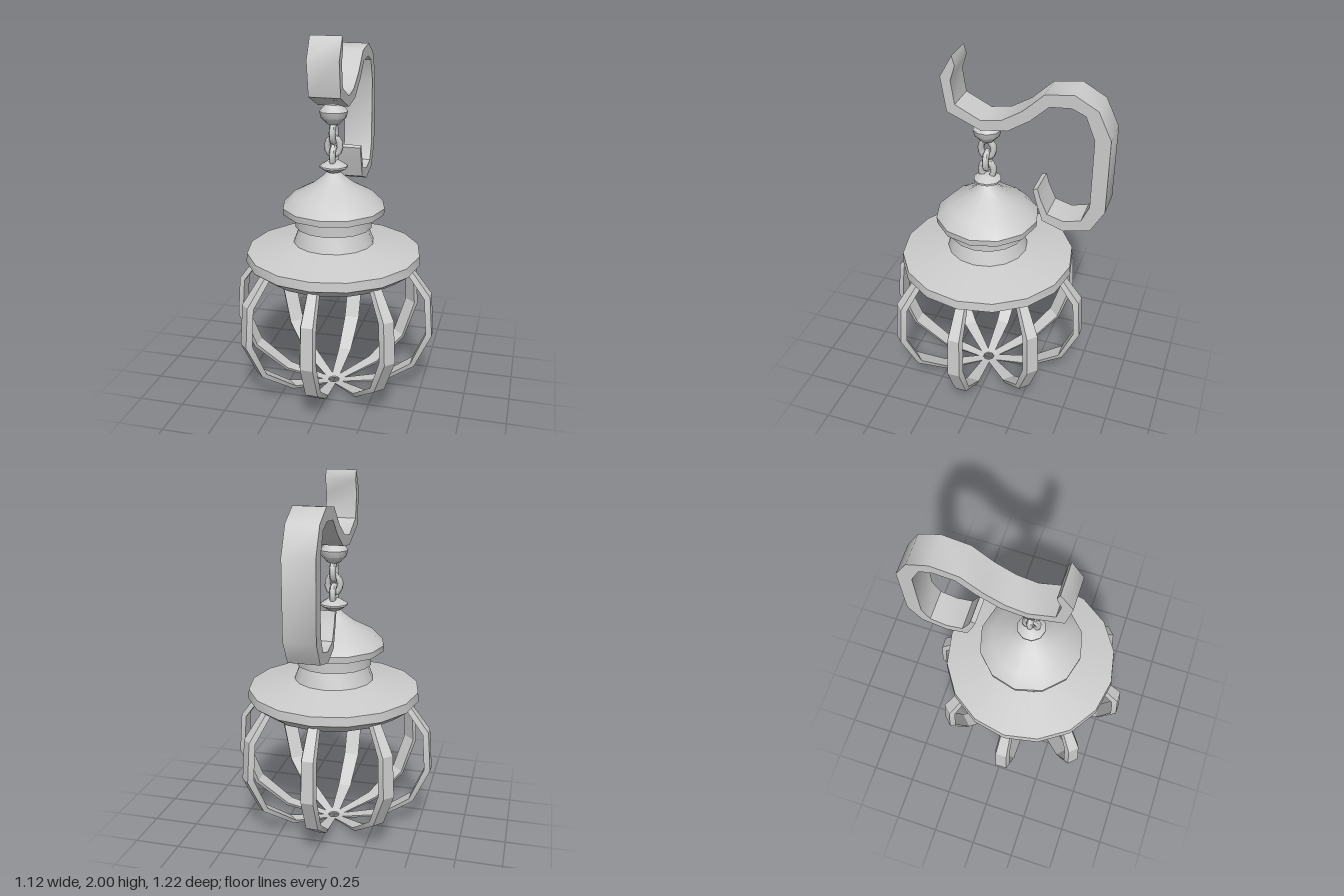
import * as THREE from 'three';
import { toCreasedNormals } from 'three/addons/utils/BufferGeometryUtils.js';

const CENTRE_Z = 0.045; // the lantern axis; the hook reaches back from it
const material = new THREE.MeshStandardMaterial({ color: 0xcccccc, side: THREE.DoubleSide });

function part(name, geometry, crease = 0.62) {
  const mesh = new THREE.Mesh(toCreasedNormals(geometry, crease), material);
  mesh.name = name;
  return mesh;
}

// Profile given as [radius, height], outside from bottom to top
function turned(name, profile, sides) {
  const points = profile.map(([r, y]) => new THREE.Vector2(r, y));
  return part(name, new THREE.LatheGeometry(points, sides));
}

// One cage rib along +z: a tapering bar with a narrower outer face
function ribGeometry() {
  // outer r, outer y, inner r, inner y, width scale
  const stations = [
    [0.03, 0.004, 0.03, 0.014, 0.5],
    [0.28, 0.05, 0.27, 0.07, 0.85],
    [0.47, 0.18, 0.45, 0.2, 1],
    [0.562, 0.38, 0.53, 0.39, 1],
    [0.545, 0.61, 0.515, 0.6, 0.95],
    [0.435, 0.757, 0.41, 0.745, 0.75],
  ];
  const positions = [], index = [];
  for (const [ro, yo, ri, yi, s] of stations) {
    positions.push(-0.033 * s, yo, ro, 0.033 * s, yo, ro, 0.044 * s, yi, ri, -0.044 * s, yi, ri);
  }
  for (let i = 0; i < stations.length - 1; i++) {
    for (let j = 0; j < 4; j++) {
      const a = i * 4 + j, b = i * 4 + (j + 1) % 4;
      index.push(a, b, b + 4, a, b + 4, a + 4);
    }
  }
  const e = (stations.length - 1) * 4;
  index.push(0, 2, 1, 0, 3, 2, e, e + 1, e + 2, e, e + 2, e + 3);
  const geometry = new THREE.BufferGeometry();
  geometry.setAttribute('position', new THREE.Float32BufferAttribute(positions, 3));
  geometry.setIndex(index);
  geometry.computeVertexNormals();
  return geometry;
}

// Oval chain link standing upright in the xy plane
function linkGeometry() {
  const points = [];
  for (let i = 0; i < 8; i++) {
    const a = (i + 0.5) * Math.PI / 4;
    points.push(new THREE.Vector3(Math.cos(a) * 0.035, Math.sin(a) * 0.05, 0));
  }
  const curve = new THREE.CatmullRomCurve3(points, true);
  return new THREE.TubeGeometry(curve, 10, 0.018, 6, true);
}

// S-shaped hook cut from a flat outline in [z, y]
function hookGeometry() {
  const outline = [
    [0.195, 2], [0.18, 1.95], [0.205, 1.87], [0.185, 1.745], [0.05, 1.68], [-0.06, 1.7],
    [-0.165, 1.765], [-0.275, 1.87], [-0.42, 1.89], [-0.54, 1.825], [-0.61, 1.68],
    [-0.61, 1.275], [-0.54, 1.15], [-0.4, 1.115], [-0.285, 1.155], [-0.25, 1.26],
    [-0.23, 1.335], [-0.255, 1.345], [-0.27, 1.29], [-0.31, 1.2], [-0.4, 1.175],
    [-0.49, 1.2], [-0.53, 1.29], [-0.53, 1.67], [-0.48, 1.79], [-0.41, 1.82],
    [-0.3, 1.81], [-0.205, 1.72], [-0.09, 1.645], [0.05, 1.625], [0.23, 1.7], [0.26, 1.885],
  ];
  const shape = new THREE.Shape(outline.map(([z, y]) => new THREE.Vector2(z, y)));
  return new THREE.ExtrudeGeometry(shape, { depth: 0.166, bevelEnabled: false })
    .translate(0, 0, -0.083)
    .rotateY(-Math.PI / 2);
}

export function createModel() {
  const model = new THREE.Group();
  model.name = 'hangingLantern';
  const lantern = new THREE.Group();
  lantern.name = 'lantern';
  lantern.position.z = CENTRE_Z;
  model.add(lantern);

  // Wide brim with hollow underside, running up into the neck
  lantern.add(turned('brimAndNeck', [
    [0.4, 0.72], [0.48, 0.78], [0.475, 0.83], [0.22, 0.88], [0.185, 0.975],
    [0.17, 0.975], [0.2, 0.865], [0.39, 0.815], [0.4, 0.72],
  ], 16));
  lantern.add(turned('collar', [
    [0.165, 0.965], [0.21, 0.97], [0.21, 1.035], [0.165, 1.035], [0.165, 0.965],
  ], 16));

  // Domed cap and the beads at both ends of the chain
  lantern.add(turned('cap', [
    [0, 1.04], [0.21, 1.03], [0.277, 1.05], [0.28, 1.085], [0.215, 1.15],
    [0.11, 1.205], [0.055, 1.25], [0.03, 1.275], [0, 1.28],
  ], 12));
  lantern.add(turned('lowerBead', [
    [0, 1.27], [0.035, 1.27], [0.075, 1.295], [0.075, 1.305], [0.035, 1.33], [0, 1.33],
  ], 10));
  lantern.add(turned('upperBead', [
    [0, 1.525], [0.035, 1.53], [0.068, 1.565], [0.076, 1.598], [0.045, 1.635], [0, 1.645],
  ], 10));

  // Three links, each turned a quarter from the next
  [1.355, 1.41, 1.48].forEach((y, i) => {
    const link = part('chainLink', linkGeometry(), 1.1);
    link.position.y = y;
    link.rotation.y = i === 1 ? 0 : Math.PI / 2;
    lantern.add(link);
  });

  // Cage of eight ribs
  const cage = new THREE.Group();
  cage.name = 'cage';
  for (let i = 0; i < 8; i++) {
    const rib = part('cageRib', ribGeometry(), 0.3);
    rib.rotation.y = i * Math.PI / 4;
    cage.add(rib);
  }
  lantern.add(cage);

  model.add(part('hook', hookGeometry(), 0.75));
  return model;
}
